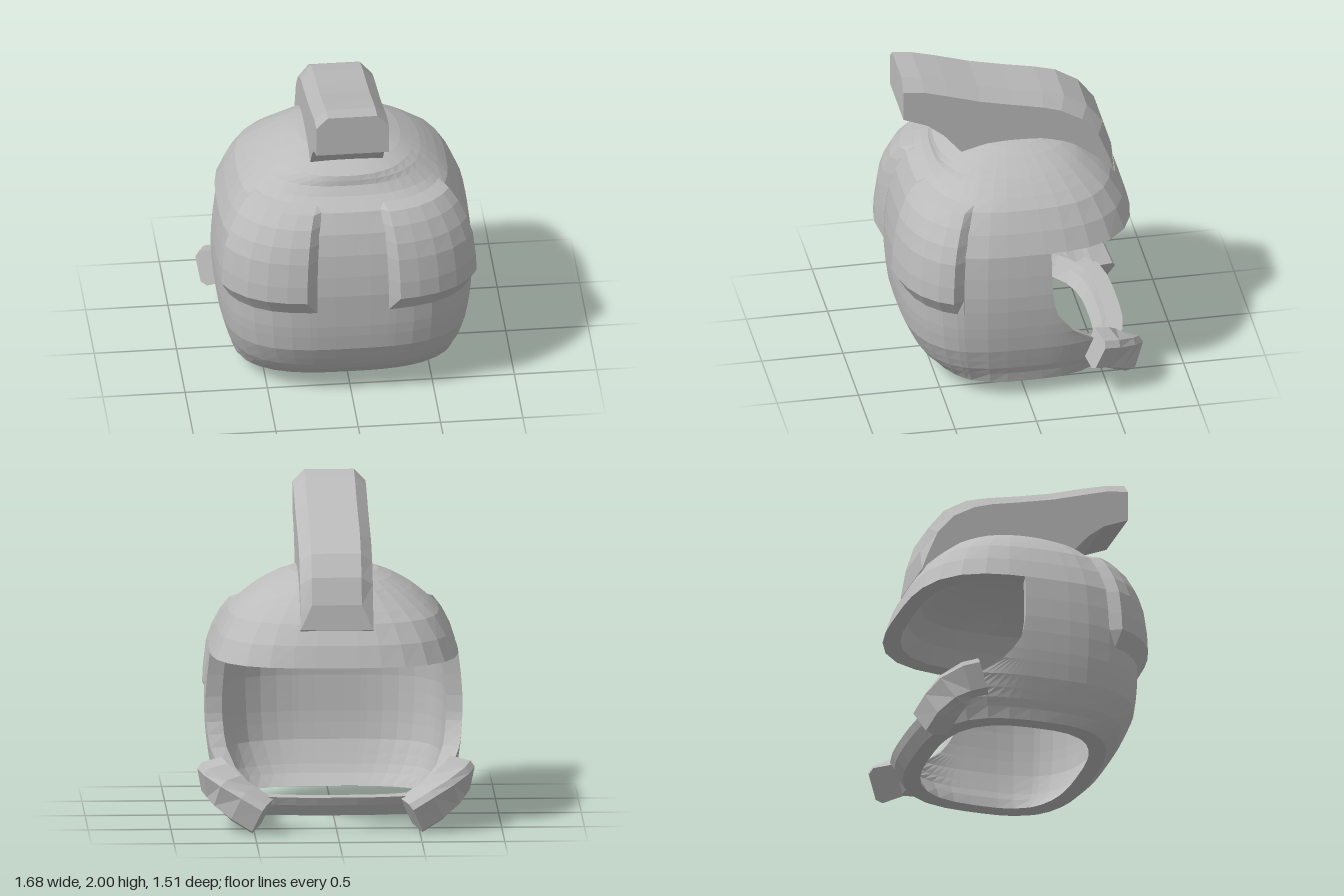
import * as THREE from 'three';

const shellGrey = new THREE.MeshStandardMaterial({ color: 0xbcbcbc });
shellGrey.name = 'shell grey';

const WALL = 0.1;

// Helmet sections: height, half width, reach to +z, reach to -z, squareness
const SECTIONS = [
  [0.10, 0.680, 0.52, 0.61, 2.9], [0.17, 0.695, 0.59, 0.66, 3.0],
  [0.22, 0.715, 0.62, 0.68, 3.1], [0.35, 0.750, 0.68, 0.70, 3.2],
  [0.50, 0.770, 0.70, 0.72, 3.2], [0.65, 0.778, 0.705, 0.73, 3.2],
  [0.80, 0.778, 0.71, 0.73, 3.2], [1.02, 0.752, 0.68, 0.72, 3.2],
  [1.15, 0.700, 0.645, 0.68, 3.1], [1.27, 0.635, 0.585, 0.61, 2.9],
  [1.33, 0.575, 0.495, 0.555, 2.7], [1.38, 0.515, 0.455, 0.50, 2.6],
  [1.41, 0.475, 0.45, 0.47, 2.5], [1.44, 0.425, 0.44, 0.44, 2.4],
  [1.48, 0.355, 0.35, 0.38, 2.3], [1.515, 0.270, 0.25, 0.29, 2.2],
  [1.535, 0.150, 0.12, 0.13, 2], [1.538, 0.002, 0.002, 0.002, 2],
];

// Edge of the face opening: height, z
const OPENING = [
  [0.22, -0.60], [0.28, -0.52], [0.36, -0.42], [0.46, -0.28], [0.53, -0.22],
  [0.60, -0.175], [0.65, -0.16], [0.75, -0.145], [0.88, -0.14], [1.02, -0.14],
];

// Facet angles measured from +z; the pads cover part of them
const ANGLES = [0, 0.15, 0.3, 0.36, 0.5, 0.64, 0.78, 0.92, 1.03, 1.08, 1.25, 1.4, 1.55, 1.7];
const PAD_ANGLES = ANGLES.slice(2, 10);
const PAD_LEVELS = [[0.64, 0], [0.74, 0.053], [0.85, 0.053], [1.0, 0.053],
  [1.1, 0.053], [1.2, 0.05], [1.275, 0.04], [1.30, 0]];

// Interpolated section at a height
function sectionAt(y) {
  let i = 0;
  while (i < SECTIONS.length - 2 && SECTIONS[i + 1][0] < y) i++;
  const p = SECTIONS[i], q = SECTIONS[i + 1];
  const t = THREE.MathUtils.clamp((y - p[0]) / (q[0] - p[0]), 0, 1);
  return p.map((v, k) => v + (q[k] - v) * t);
}

// Point on the rounded-square shell; offset pushes outward
function shellPoint(angle, y, offset = 0, yOut = y) {
  const [, a, front, back, n] = sectionAt(y);
  const s = Math.sin(angle), c = Math.cos(angle);
  const w = Math.max(a + offset, 0.001);
  const b = Math.max((c > 0 ? front : back) + offset, 0.001);
  const r = (Math.abs(s / w) ** n + Math.abs(c / b) ** n) ** (-1 / n);
  return new THREE.Vector3(r * s, yOut, r * c);
}

// Angle at which the shell meets a given z
function angleAtZ(y, z) {
  let lo = 0, hi = Math.PI;
  for (let i = 0; i < 30; i++) {
    const mid = (lo + hi) / 2;
    if (shellPoint(mid, y).z > z) lo = mid; else hi = mid;
  }
  return lo;
}

// Faceted closed solid through a row of equal-length loops of points
function loft(name, rings) {
  const tris = [], m = rings[0].length;
  const quad = (a, b, c, d) => tris.push([a, b, c], [a, c, d]);
  for (let i = 0; i < rings.length - 1; i++) {
    for (let j = 0; j < m; j++) {
      const k = (j + 1) % m;
      quad(rings[i][j], rings[i][k], rings[i + 1][k], rings[i + 1][j]);
    }
  }
  const last = rings[rings.length - 1];
  for (let j = 0; j < m / 2 - 1; j++) {
    quad(rings[0][m - 1 - j], rings[0][m - 2 - j], rings[0][j + 1], rings[0][j]);
    quad(last[j], last[j + 1], last[m - 2 - j], last[m - 1 - j]);
  }
  // Turn the faces outward if the loops ran the other way
  const v = new THREE.Vector3();
  let volume = 0;
  for (const [a, b, c] of tris) volume += a.dot(v.crossVectors(b, c));
  if (volume < 0) tris.forEach((t) => t.reverse());
  const geometry = new THREE.BufferGeometry().setFromPoints(tris.flat());
  geometry.computeVertexNormals();
  const mesh = new THREE.Mesh(geometry, shellGrey);
  mesh.name = name;
  return mesh;
}

// Loop along the outer wall and back along the inner wall
function wallLoop(y, limit, innerY = y) {
  const half = ANGLES.slice(1), start = half[half.length - 1];
  for (let i = 1; i <= 8; i++) half.push(start + (limit - start) * i / 8);
  const angles = [...half.map((a) => -a).reverse(), 0, ...half];
  const outer = angles.map((a) => shellPoint(a, y));
  const inner = angles.map((a) => shellPoint(a, y, -WALL, innerY));
  return outer.concat(inner.reverse());
}

// Raised pad with bevelled edges
function pad(name, side) {
  return loft(name, PAD_LEVELS.map(([y, lift]) => {
    const outer = PAD_ANGLES.map((a, j) => {
      const edge = j === 0 || j === PAD_ANGLES.length - 1;
      return shellPoint(side * a, y, (edge ? 0 : lift) + 0.002);
    });
    const inner = PAD_ANGLES.map((a) => shellPoint(side * a, y, -0.03));
    return outer.concat(inner.reverse());
  }));
}

// Curved block wrapped round a chin corner
function chinBlock(name, side) {
  const path = [[0.765, 0.31, -0.41], [0.72, 0.275, -0.53], [0.62, 0.195, -0.62], [0.46, 0.10, -0.67]]
    .map((p) => new THREE.Vector3(...p));
  const curve = new THREE.CatmullRomCurve3(path);
  const profile = [[-0.1, -0.10], [0.03, -0.11], [0.065, -0.08], [0.065, 0.08], [0.03, 0.11], [-0.1, 0.10]];
  const rings = [];
  for (let i = 0; i <= 4; i++) {
    const c = curve.getPoint(i / 4), t = curve.getTangent(i / 4);
    // Outward direction leans down a little
    const out = new THREE.Vector3(-t.z, 0, t.x).normalize();
    out.y = -0.3;
    out.addScaledVector(t, -out.dot(t)).normalize();
    const up = new THREE.Vector3().crossVectors(t, out).normalize();
    if (up.y < 0) up.negate();
    rings.push(profile.map(([o, u]) => {
      const p = c.clone().addScaledVector(out, o).addScaledVector(up, u);
      p.x *= side;
      return p;
    }));
  }
  return loft(name, rings);
}

// Chamfered crest: z and y of the top, the chamfer line and the underside
function crest() {
  const rows = [
    [0.67, 2.00, 0.67, 1.93, 0.67, 1.74], [0.55, 1.985, 0.54, 1.915, 0.52, 1.68],
    [0.40, 1.945, 0.40, 1.875, 0.42, 1.60], [0.20, 1.885, 0.20, 1.815, 0.31, 1.47],
    [0.00, 1.84, 0.00, 1.77, 0.10, 1.47], [-0.20, 1.80, -0.19, 1.73, -0.10, 1.47],
    [-0.33, 1.765, -0.30, 1.695, -0.20, 1.46], [-0.47, 1.68, -0.43, 1.62, -0.30, 1.43],
    [-0.57, 1.55, -0.53, 1.50, -0.45, 1.34], [-0.62, 1.39, -0.595, 1.34, -0.54, 1.26],
  ];
  const rings = rows.map(([tz, ty, cz, cy, bz, by]) => [
    [0.15, ty, tz], [0.22, cy, cz], [0.22, by, bz],
    [-0.22, by, bz], [-0.22, cy, cz], [-0.15, ty, tz],
  ]);
  rings.push([
    [0.22, 1.24, -0.63], [0.22, 1.23, -0.625], [0.22, 1.22, -0.58],
    [-0.22, 1.22, -0.58], [-0.22, 1.23, -0.625], [-0.22, 1.24, -0.63],
  ]);
  return loft('crest', rings.map((r) => r.map((p) => new THREE.Vector3(...p))));
}

export function createModel() {
  const model = new THREE.Group();
  model.name = 'helmet';

  // Shell: lower ring with chin bar, wrapped wall, and dome with brow
  model.add(loft('lowerRing', [0.10, 0.17, 0.22].map((y) => wallLoop(y, Math.PI))));
  model.add(loft('wall', OPENING.map(([y, z]) => wallLoop(y, angleAtZ(y, z)))));
  const domeLevels = SECTIONS.map((s) => s[0]).filter((y) => y >= 1.02);
  model.add(loft('dome', domeLevels.map((y) => wallLoop(y, Math.PI, y - 0.18 * (y - 1.02)))));

  model.add(crest());
  for (const [word, side] of [['left', 1], ['right', -1]]) {
    model.add(pad(word + 'Pad', side));
    model.add(chinBlock(word + 'ChinBlock', side));
  }
  return model;
}
